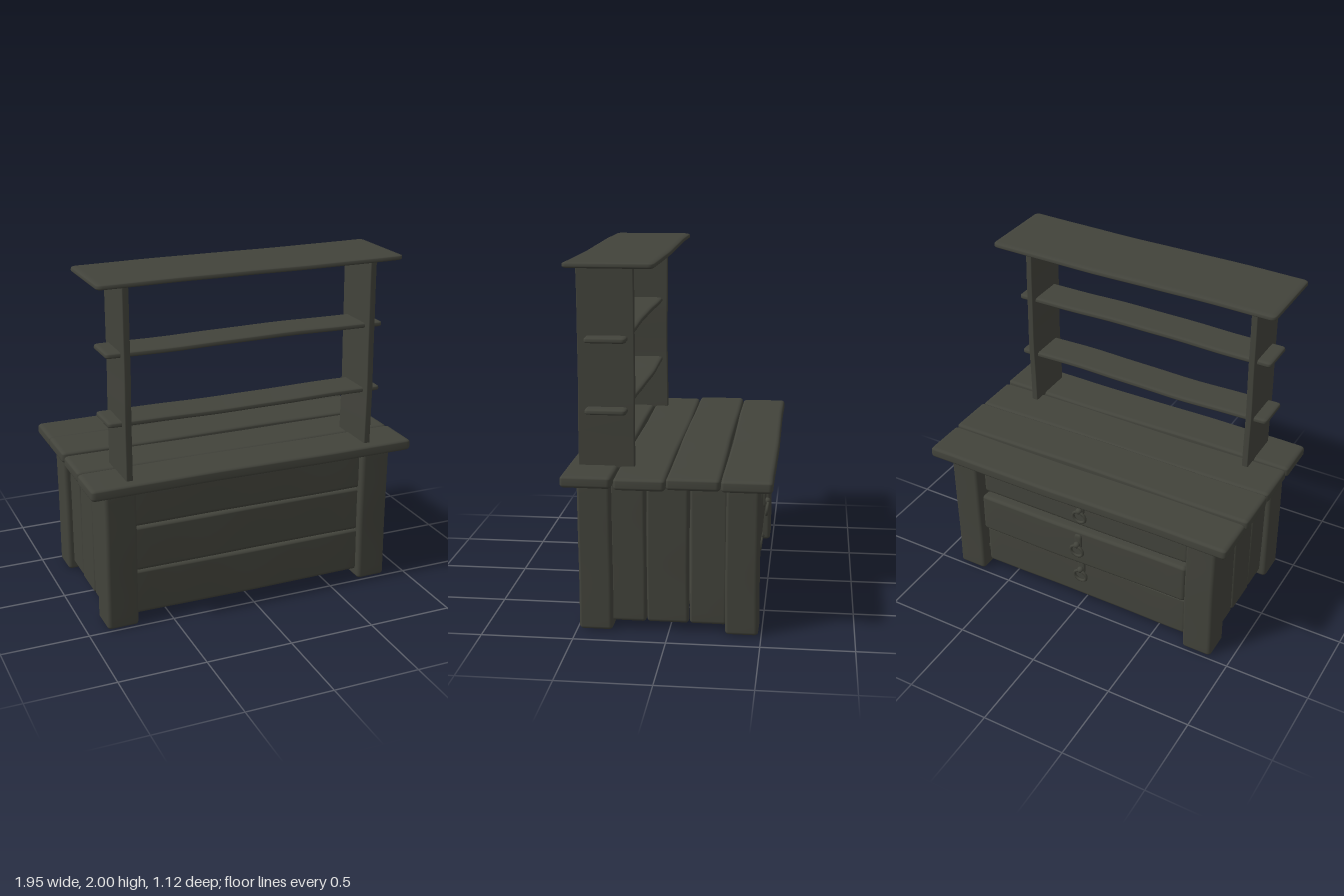
import * as THREE from 'three';
import { mergeVertices } from 'three/addons/utils/BufferGeometryUtils.js';

const wood = new THREE.MeshStandardMaterial({ color: 0x42433b });
wood.name = 'darkWood';

// Soft-edged board: a box whose rim is rounded, then gently bowed along its length.
// r holds the rounding radius along x, y and z.
function boardGeometry(size, r, wave, seed) {
  const long = size.indexOf(Math.max(...size));
  const n = [0, 1, 2].map(i => (i === long ? 22 : 6));
  let g = new THREE.BoxGeometry(1, 1, 1, ...n);
  g.deleteAttribute('uv');
  g.deleteAttribute('normal');
  const p = g.attributes.position;
  for (let v = 0; v < p.count; v++) {
    const pos = [], q = [];
    for (let i = 0; i < 3; i++) {
      const k = Math.round((p.getComponent(v, i) + 0.5) * n[i]);
      const half = size[i] / 2, inner = half - r[i];
      // three rim rows at each end, the rest spread evenly
      let c;
      if (k <= 3) c = -half + r[i] * k / 3;
      else if (k >= n[i] - 3) c = half - r[i] * (n[i] - k) / 3;
      else c = -inner + 2 * inner * (k - 3) / (n[i] - 6);
      pos[i] = Math.max(-inner, Math.min(inner, c));
      q[i] = (c - pos[i]) / r[i];
    }
    const sup = Math.max(...q.map(Math.abs)), len = Math.hypot(...q);
    for (let i = 0; i < 3; i++) if (len > 0) pos[i] += q[i] / len * sup * r[i];
    const t = pos[long];
    for (let i = 0; i < 3; i++) {
      if (i !== long) pos[i] += wave * Math.sin(t * 4.3 + seed * 2.1 + i) * (1 + 0.4 * Math.sin(t * 9 + seed));
    }
    p.setXYZ(v, ...pos);
  }
  g = mergeVertices(g, 1e-5);
  g.computeVertexNormals();
  return g;
}

export function createModel() {
  const model = new THREE.Group();
  model.name = 'counterWithShelves';
  let seed = 0;

  // Board given by its extents on each axis
  function board(name, x, y, z, r, wave = 0.002, parent = model) {
    const size = [x, y, z].map(e => e[1] - e[0]);
    const mesh = new THREE.Mesh(boardGeometry(size, r, wave, seed++), wood);
    mesh.position.set((x[0] + x[1]) / 2, (y[0] + y[1]) / 2, (z[0] + z[1]) / 2);
    mesh.name = name;
    parent.add(mesh);
    return mesh;
  }

  // Corner legs
  for (const x of [[-0.885, -0.7], [0.69, 0.87]])
    for (const z of [[0.305, 0.49], [-0.485, -0.305]])
      board('leg', x, [0.005, 0.84], z, [0.025, 0.02, 0.025], 0.002);

  // Worktop planks, each at a slightly different height
  const tops = [[0.286, 0.56, 0.83], [0.006, 0.281, 0.826], [-0.282, 0.003, 0.838], [-0.557, -0.286, 0.83]];
  tops.forEach(([z0, z1, y], i) =>
    board('worktopPlank', [-0.975 + (i % 2) * 0.004, 0.97], [y, y + 0.066], [z0, z1], [0.03, 0.02, 0.025], 0.002));

  // Front panel planks
  for (const y of [[0.05, 0.319], [0.321, 0.589], [0.591, 0.84]])
    board('frontPlank', [-0.72, 0.71], y, [0.37, 0.45], [0.02, 0.025, 0.025], 0.002);

  // Side planks
  for (const x of [[-0.85, -0.78], [0.77, 0.84]])
    for (const z of [[0.125, 0.315], [-0.108, 0.12], [-0.315, -0.113]])
      board('sidePlank', x, [0.05, 0.84], z, [0.02, 0.02, 0.02], 0.002);

  // Bottom panel inside the carcass
  board('bottomPanel', [-0.8, 0.79], [0.14, 0.17], [-0.42, 0.4], [0.01, 0.01, 0.01], 0);

  // Drawers with ring pulls on the back; the middle one is pulled out a little
  const drawers = [[0.05, 0.318, -0.43, 0.24], [0.328, 0.58, -0.465, 0.46], [0.59, 0.825, -0.43, 0.69]];
  for (const [y0, y1, z, pullY] of drawers) {
    const drawer = new THREE.Group();
    drawer.name = 'drawer';
    board('drawerFront', [-0.695, 0.685], [y0, y1], [z, z + 0.08], [0.025, 0.025, 0.025], 0.002, drawer);

    const pull = new THREE.Group();
    pull.name = 'ringPull';
    pull.position.set(0, pullY, z);
    const plate = new THREE.Mesh(boardGeometry([0.045, 0.1, 0.02], [0.015, 0.02, 0.008], 0, 0), wood);
    plate.name = 'pullPlate';
    plate.position.set(0, 0.05, -0.005);
    const knob = new THREE.Mesh(new THREE.SphereGeometry(0.02, 12, 8), wood);
    knob.name = 'pullKnob';
    knob.position.set(0, 0.035, -0.025);
    const ring = new THREE.Mesh(new THREE.TorusGeometry(0.04, 0.009, 8, 24), wood);
    ring.name = 'pullRing';
    ring.position.set(0, -0.01, -0.025);
    ring.rotation.x = -0.12;
    pull.add(plate, knob, ring);
    drawer.add(pull);
    model.add(drawer);
  }

  // Uprights of the shelf unit
  for (const x of [[-0.757, -0.719], [0.688, 0.726]])
    board('shelfUpright', x, [0.88, 1.975], [0.196, 0.5], [0.006, 0.006, 0.006], 0.003);

  // Shelves pass through the uprights; the wide top board rests on them
  for (const y of [1.202, 1.59])
    board('shelf', [-0.838, 0.805], [y - 0.016, y + 0.016], [0.23, 0.455], [0.025, 0.012, 0.025], 0.004);
  board('topShelf', [-0.903, 0.866], [1.965, 1.998], [0.065, 0.545], [0.035, 0.012, 0.035], 0.002);

  return model;
}
